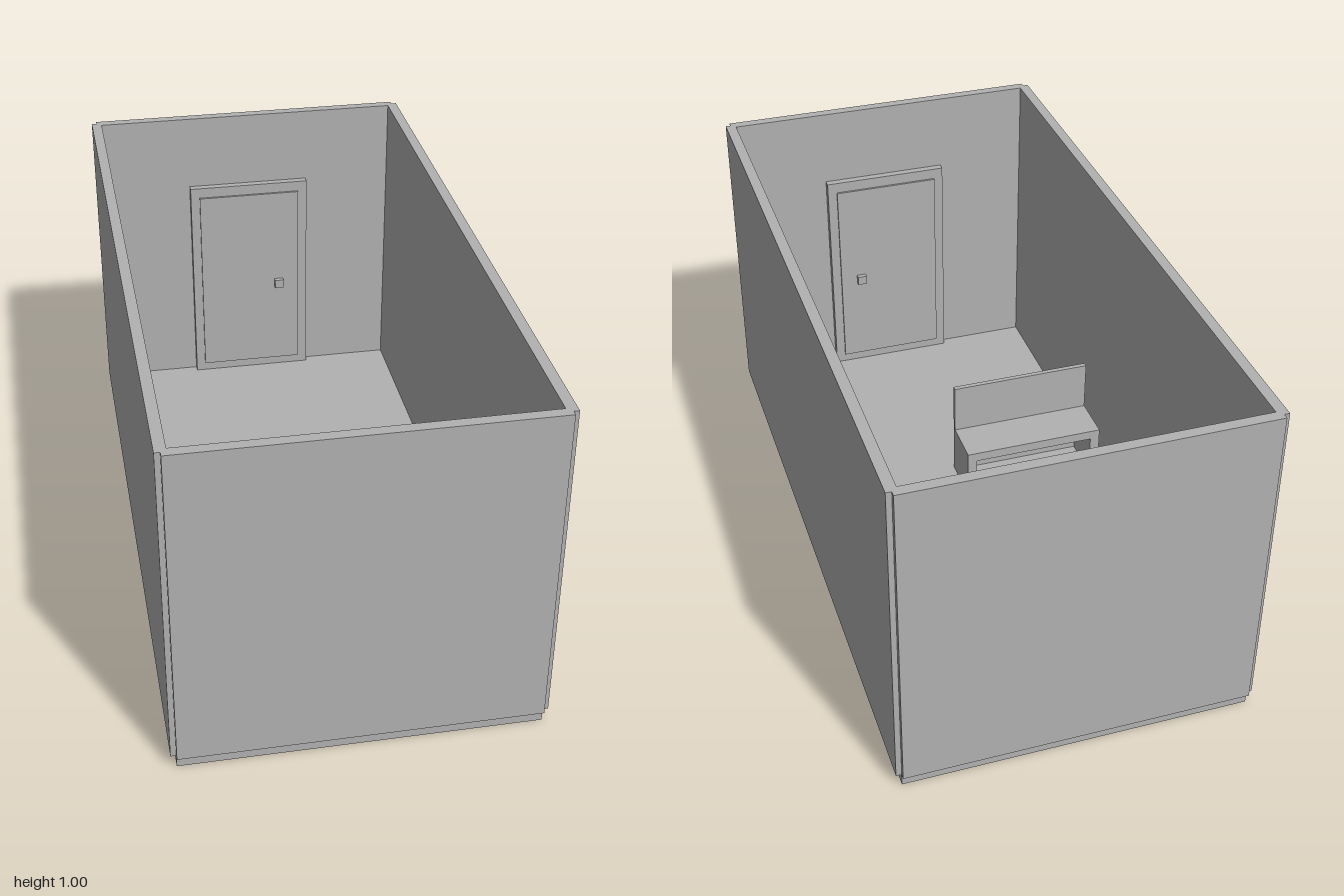
import * as THREE from 'three';

const FLOOR = 0.038;   // floor slab thickness
const WALL = 0.031;    // wall thickness
const HALF_X = 0.5;    // wall centre lines
const HALF_Z = 0.984;

export function createModel() {
  const room = new THREE.Group();
  room.name = 'room';
  const grey = new THREE.MeshStandardMaterial({ color: 0xb2b2b2 });
  grey.name = 'plain grey';

  // Box given by its lower and upper limits on each axis
  function box(name, [x0, x1], [y0, y1], [z0, z1], parent = room) {
    const mesh = new THREE.Mesh(new THREE.BoxGeometry(x1 - x0, y1 - y0, z1 - z0), grey);
    mesh.position.set((x0 + x1) / 2, (y0 + y1) / 2, (z0 + z1) / 2);
    mesh.name = name;
    parent.add(mesh);
    return mesh;
  }
  const mirrored = (side, a, b) => (side > 0 ? [a, b] : [-b, -a]);

  // Floor slab
  box('floor', [-HALF_X, HALF_X], [0, FLOOR], [-HALF_Z, HALF_Z]);

  for (const side of [-1, 1]) {
    // Long and short walls, leaving a small notch at each corner
    box('sideWall', mirrored(side, HALF_X - WALL / 2, HALF_X + WALL / 2), [FLOOR, 1], [-HALF_Z, HALF_Z]);
    box('endWall', [-HALF_X, HALF_X], [FLOOR, 1], mirrored(side, HALF_Z - WALL / 2, HALF_Z + WALL / 2));

    // Door on the inside of each end wall
    const door = new THREE.Group();
    door.name = 'door';
    room.add(door);
    box('doorLeaf', [-0.2, 0.2], [FLOOR, 0.755], mirrored(side, 0.945, 0.975), door);
    box('doorPanel', [-0.17, 0.17], [0.068, 0.72], mirrored(side, 0.938, 0.946), door);
    box('doorHandle', [0.085, 0.115], [0.36, 0.39], mirrored(side, 0.922, 0.94), door);
  }

  // Bench with a thin backrest
  const bench = new THREE.Group();
  bench.name = 'bench';
  room.add(bench);
  box('benchSeat', [-0.465, -0.02], [0.17, 0.2], [0.08, 0.22], bench);
  box('benchBack', [-0.465, -0.02], [FLOOR, 0.36], [0.22, 0.235], bench);
  for (const x of [-0.465, -0.05]) {
    box('benchSupport', [x, x + 0.03], [FLOOR, 0.17], [0.08, 0.22], bench);
  }

  // Low square stool
  box('stool', [0.263, 0.387], [FLOOR, FLOOR + 0.125], [0.13, 0.255]);

  return room;
}
